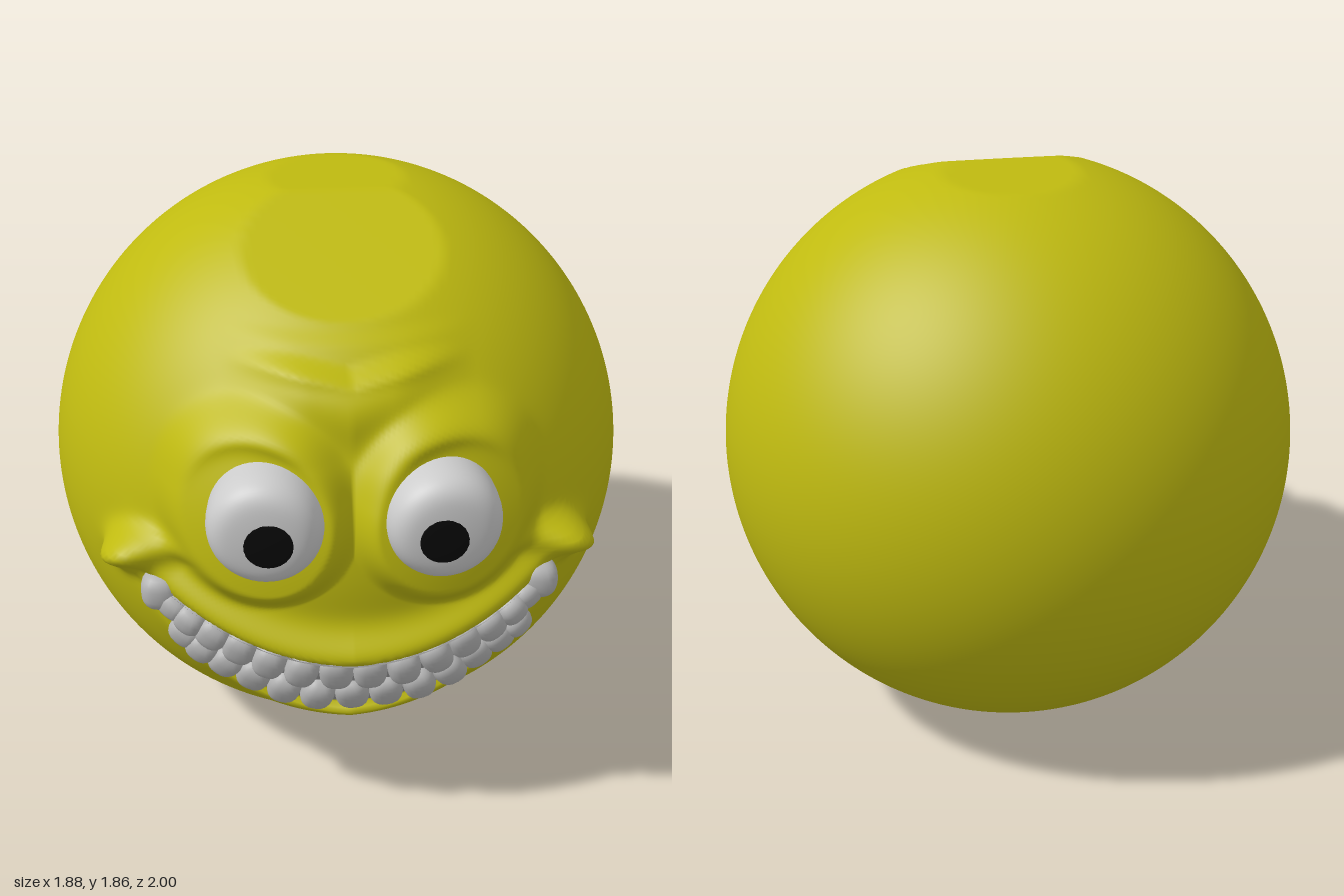
import * as THREE from 'three';
import { mergeVertices } from 'three/addons/utils/BufferGeometryUtils.js';

const R = 0.94;
const CENTRE = new THREE.Vector3(0, 0.93, -0.06);

const material = (color, side = THREE.FrontSide) => new THREE.MeshStandardMaterial({ color, side });
const bell = (t) => Math.exp(-t * t);
// Smooth 0..1 ramp from a to b; a may be greater than b.
const ramp = (a, b, t) => {
  const k = Math.min(1, Math.max(0, (t - a) / (b - a)));
  return k * k * (3 - 2 * k);
};

// Edges of the grinning mouth as heights over x
const upperEdge = (x) => 0.665 + 0.215 * (Math.abs(x) / 0.62) ** 2;
const lowerEdge = (x) => 0.42 + 0.34 * (Math.abs(x) / 0.62) ** 2.3;

// Forward relief of the face: eye mounds, brow and lips
function relief(x, y) {
  const a = Math.abs(x);
  const d = Math.hypot(a - 0.29, (y - 1.15) * 0.97) / 0.3;
  let h = 0.085 * ramp(1.06, 0.72, d);
  h += 0.035 * bell((d - 0.85) / 0.15) * ramp(1.2, 1.4, y);

  // Wavy brow with a sharp upper step
  const brow = y - 0.03 * Math.sin(Math.min(a / 0.22, 2) * Math.PI / 2);
  h += 0.06 * ramp(1.55, 1.51, brow) * ramp(1.3, 1.48, brow) * ramp(0.38, 0.12, a);
  h += 0.015 * ramp(1.63, 1.59, y) * ramp(1.5, 1.56, y) * ramp(0.4, 0.15, a);

  const inMouth = ramp(0.72, 0.58, a);
  const up = y - upperEdge(x);
  const down = lowerEdge(x) - y;
  h += 0.095 * bell((up - 0.015) / (up > 0.015 ? 0.075 : 0.025)) * (1 - 0.6 * a) * inMouth;
  h += 0.09 * bell((down - 0.045) / (down > 0.045 ? 0.09 : 0.035)) * Math.max(0, 1 - 1.3 * a) * inMouth;
  h += 0.03 * ramp(0.02, -0.02, up) * ramp(0.02, -0.02, down) * inMouth;
  return h;
}

// Outward folds that arch over the mouth corners
function cheekFold(x, y) {
  const u = (Math.abs(x) - 0.57) / 0.125;
  const v = (y - 0.86) / 0.11;
  const facing = Math.max(0, Math.cos(Math.atan2(v, u) - 0.75));
  return 0.115 * bell((Math.hypot(u, v) - 1) / 0.38) * facing ** 2;
}

// Flattened areas: [normal y, normal z, distance from the centre]
const FLATS = [[0.93, 0.368, 0.887], [0.999, -0.048, 0.914], [-0.98, -0.2, 0.902]];

function headPoint(dir) {
  const p = dir.clone().multiplyScalar(R);
  for (const [ny, nz, dist] of FLATS) {
    const over = p.y * ny + p.z * nz - dist;
    if (over > 0) { p.y -= ny * over; p.z -= nz * over; }
  }
  const x = p.x, y = p.y + CENTRE.y;
  const front = ramp(0.1, 0.4, p.z);
  if (front > 0) {
    p.addScaledVector(dir, cheekFold(x, y) * front);
    p.z += relief(x, y) * front;
  }
  return p.add(CENTRE);
}

// Point on the face at a given x and y
function facePoint(x, y, lift = 0) {
  const dy = y - CENTRE.y;
  const z = Math.sqrt(Math.max(0, R * R - x * x - dy * dy));
  return new THREE.Vector3(x, y, z + CENTRE.z + relief(x, y) + lift);
}

function makeHead() {
  const geo = new THREE.SphereGeometry(1, 240, 180);
  geo.rotateX(Math.PI / 2);
  const pos = geo.attributes.position;
  const dir = new THREE.Vector3();
  for (let i = 0; i < pos.count; i++) {
    dir.fromBufferAttribute(pos, i);
    // Rings gather towards the face, where the detail is
    const t = Math.acos(THREE.MathUtils.clamp(dir.z, -1, 1)) / Math.PI;
    const theta = Math.PI * t ** 1.3;
    const phi = Math.atan2(dir.y, dir.x);
    dir.set(Math.sin(theta) * Math.cos(phi), Math.sin(theta) * Math.sin(phi), Math.cos(theta));
    const p = headPoint(dir);
    pos.setXYZ(i, p.x, p.y, p.z);
  }
  geo.deleteAttribute('uv');
  geo.deleteAttribute('normal');
  const smooth = mergeVertices(geo, 1e-5);
  smooth.computeVertexNormals();
  const head = new THREE.Mesh(smooth, material(0xbfba10));
  head.name = 'head';
  return head;
}

function makeEye(side) {
  const eye = new THREE.Group();
  eye.name = side > 0 ? 'leftEye' : 'rightEye';
  const profile = new THREE.SplineCurve([
    [0.175, -0.12], [0.177, -0.03], [0.172, 0.025], [0.155, 0.065], [0.12, 0.09], [0.06, 0.1], [0, 0.101],
  ].map(([r, z]) => new THREE.Vector2(r, z))).getPoints(28);
  profile[profile.length - 1].x = 0;
  const ball = new THREE.Mesh(new THREE.LatheGeometry(profile, 48).rotateX(Math.PI / 2), material(0xcccccc));
  ball.name = 'eyeball';
  const pupil = new THREE.Mesh(new THREE.SphereGeometry(0.077, 32, 12), material(0x080808));
  pupil.name = 'pupil';
  pupil.scale.z = 0.12;
  pupil.position.set(-side * 0.012, -0.01, 0.096);
  eye.add(ball, pupil);
  eye.position.set(side * 0.26, 1.16, 0.893);
  eye.rotation.y = side * 0.1;
  return eye;
}

// Sheet behind the teeth, following the mouth opening
function makeGums() {
  const geo = new THREE.PlaneGeometry(1.22, 1, 80, 10);
  const pos = geo.attributes.position;
  for (let i = 0; i < pos.count; i++) {
    const x = pos.getX(i);
    const y = THREE.MathUtils.lerp(lowerEdge(x), upperEdge(x), pos.getY(i) + 0.5);
    const p = facePoint(x, y, 0.012);
    pos.setXYZ(i, p.x, p.y, p.z);
  }
  geo.computeVertexNormals();
  const gums = new THREE.Mesh(geo, material(0x999999, THREE.DoubleSide));
  gums.name = 'gums';
  return gums;
}

function makeTeeth() {
  const teeth = new THREE.Group();
  teeth.name = 'teeth';
  const enamel = material(0xb4b4b4);
  const shape = new THREE.SphereGeometry(1, 20, 14);
  // Superellipsoid rounding gives blocky tooth faces
  const pos = shape.attributes.position;
  for (let i = 0; i < pos.count; i++) {
    const f = (v) => Math.sign(v) * Math.abs(v) ** 0.8;
    pos.setXYZ(i, f(pos.getX(i)), f(pos.getY(i)), f(pos.getZ(i)));
  }
  shape.computeVertexNormals();

  const addRow = (name, count, reach, level) => {
    for (let i = 0; i < count; i++) {
      const s = ((i + 0.5) / count) * 2 - 1;
      const at = (x) => facePoint(x, THREE.MathUtils.lerp(lowerEdge(x), upperEdge(x), level), 0.012);
      const x = reach * Math.sin(s * 1.25) / Math.sin(1.25);
      const p = at(x);
      const along = at(x + 0.02).sub(at(x - 0.02)).normalize();
      const out = p.clone().sub(CENTRE).normalize();
      const up = out.clone().cross(along).normalize();
      out.crossVectors(along, up);
      const height = upperEdge(x) - lowerEdge(x);
      const tooth = new THREE.Mesh(shape, enamel);
      tooth.name = name;
      tooth.position.copy(p);
      tooth.quaternion.setFromRotationMatrix(new THREE.Matrix4().makeBasis(along, up, out));
      tooth.rotateZ(0.12 * Math.sin(i * 2.3));
      tooth.scale.set(1.12 * reach / count + 0.008, height * 0.29, 0.048 + 0.006 * Math.sin(i * 1.7));
      teeth.add(tooth);
    }
  };
  addRow('upperTooth', 14, 0.56, 0.74);
  addRow('lowerTooth', 13, 0.53, 0.25);

  // Rounded back tooth at each mouth corner
  for (const side of [-1, 1]) {
    const molar = new THREE.Mesh(shape, enamel);
    molar.name = 'cornerTooth';
    molar.position.copy(facePoint(side * 0.585, 0.825, 0.01));
    molar.scale.set(0.06, 0.062, 0.06);
    teeth.add(molar);
  }
  return teeth;
}

export function createModel() {
  const model = new THREE.Group();
  model.name = 'grinningHead';
  model.add(makeHead(), makeEye(1), makeEye(-1), makeGums(), makeTeeth());
  return model;
}
